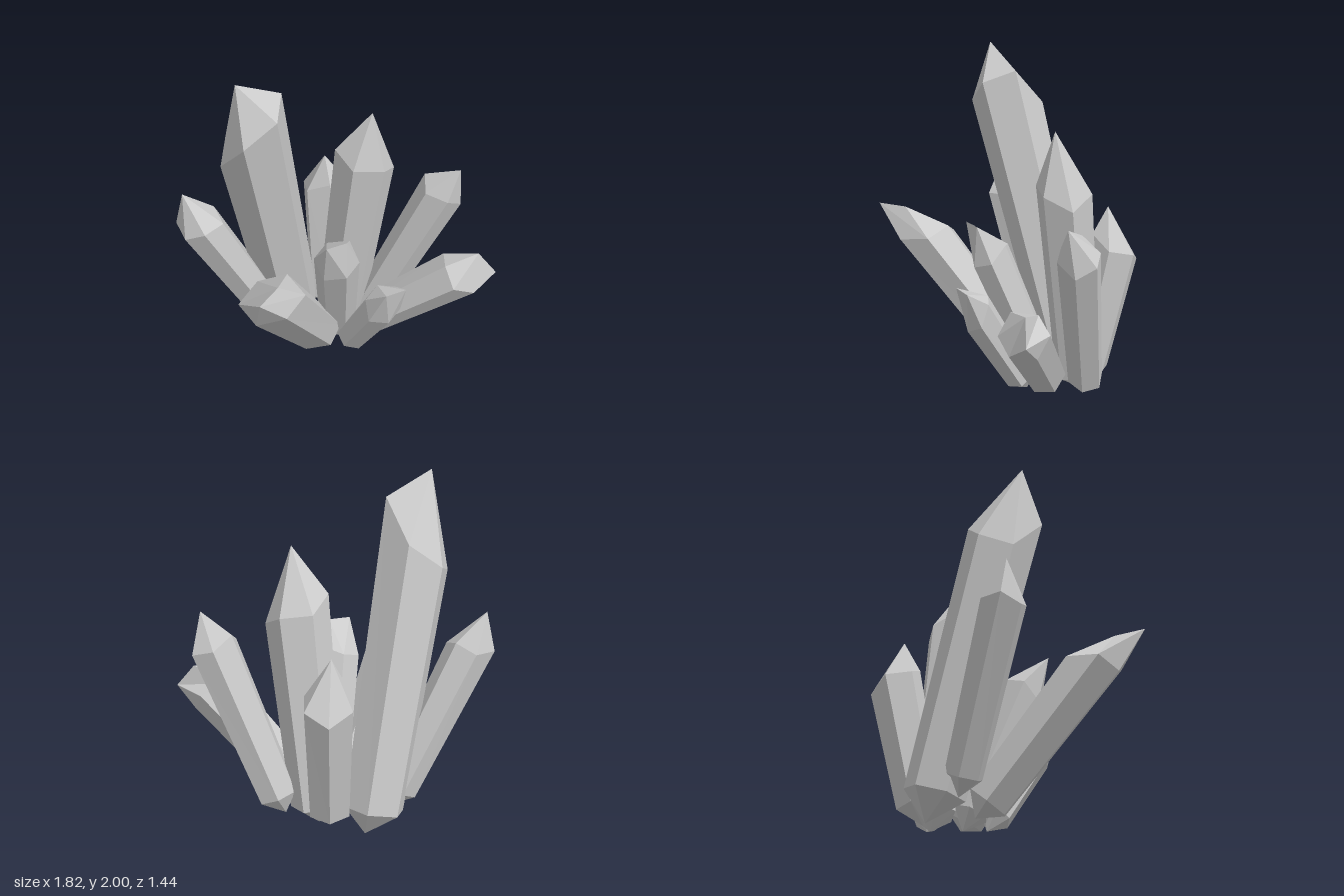
import * as THREE from 'three';

const SIDES = 6;

// Each crystal: base and shoulder ring centres, tip, radius, depth factor, start angle,
// tilt of the shoulder ring in x and z, and half length of a ridge that blunts the tip
const CRYSTALS = [
  { name: 'tallCrystal', base: [-0.25, 0.14, -0.38], shoulder: [-0.475, 1.66, -0.045], tip: [-0.55, 2, 0.04], r: 0.21, depth: 0.95, turn: 0.75, tilt: [0.85, 0.35], foot: [-0.2, 0, -0.42] },
  { name: 'rightTallCrystal', base: [0.07, 0.15, -0.35], shoulder: [0.18, 1.29, -0.23], tip: [0.21, 1.63, -0.17], r: 0.18, depth: 0.88, turn: 0, tilt: [-0.25, 0.1] },
  { name: 'frontLeaningCrystal', base: [-0.13, 0.16, -0.08], shoulder: [-0.435, 0.88, 0.45], tip: [-0.465, 1.07, 0.65], r: 0.185, depth: 0.85, turn: 0, tilt: [0, 0.4], ridge: [0.055, 0, -0.07] },
  { name: 'leftCrystal', base: [-0.39, 0.2, -0.25], shoulder: [-0.785, 1.02, -0.11], tip: [-0.87, 1.23, -0.11], r: 0.132, depth: 0.95, turn: 0.3, tilt: [-0.2, 0] },
  { name: 'rightCrystal', base: [0.29, 0.2, -0.34], shoulder: [0.64, 1.05, -0.2], tip: [0.72, 1.23, -0.12], r: 0.142, depth: 0.85, turn: 0.5, tilt: [-0.1, -0.1] },
  { name: 'rightLowCrystal', base: [0.22, 0.21, -0.12], shoulder: [0.69, 0.655, 0.105], tip: [0.85, 0.735, 0.13], r: 0.148, depth: 0.95, turn: 0, tilt: [0, 0.1], ridge: [0.053, -0.067, 0.01] },
  { name: 'middleCrystal', base: [0.01, 0.14, -0.15], shoulder: [-0.035, 0.86, 0.14], tip: [-0.05, 1.05, 0.25], r: 0.13, depth: 0.95, turn: 0.2, tilt: [0.1, -0.25], ridge: [0.06, 0, -0.02] },
  { name: 'smallFrontCrystal', base: [0.08, 0.15, 0], shoulder: [0.215, 0.61, 0.265], tip: [0.27, 0.77, 0.365], r: 0.112, depth: 0.95, turn: 0.2, tilt: [0.1, -0.6], ridge: [0.06, 0, -0.02] },
  { name: 'backCrystal', base: [0, 0.16, -0.43], shoulder: [0.005, 0.88, -0.58], tip: [-0.01, 1.12, -0.54], r: 0.15, depth: 1, turn: 0.5, tilt: [0, 0.25] },
];

const vec = (p) => new THREE.Vector3(...p);

function crystalGeometry({ base, shoulder, tip, r, depth, turn, tilt, ridge = [0, 0, 0], foot }) {
  const b = vec(base), s = vec(shoulder), t = vec(tip), half = vec(ridge);
  const axis = s.clone().sub(b).normalize();
  const u = new THREE.Vector3(1, 0, 0).addScaledVector(axis, -axis.x).normalize();
  const w = u.clone().cross(axis);
  const f = foot ? vec(foot) : b.clone().addScaledVector(axis, -0.11);

  const lower = [], upper = [], peak = [];
  for (let i = 0; i < SIDES; i++) {
    const a = turn + (i / SIDES) * Math.PI * 2;
    const c = Math.cos(a) * r, d = Math.sin(a) * r * depth;
    const out = u.clone().multiplyScalar(c).addScaledVector(w, d);
    // alternate corners sit a little higher, for uneven facets
    const lift = c * tilt[0] + d * tilt[1] + (i % 2 ? 0.12 : -0.12) * r;
    lower.push(b.clone().addScaledVector(out, 0.84));
    upper.push(s.clone().add(out).addScaledVector(axis, lift));
    peak.push(t.clone().addScaledVector(half, Math.sign(out.dot(half))));
  }

  const points = [];
  for (let i = 0; i < SIDES; i++) {
    const j = (i + 1) % SIDES;
    points.push(lower[i], upper[i], upper[j], lower[i], upper[j], lower[j]); // side
    points.push(upper[i], peak[j], upper[j]); // tip facet
    if (!peak[i].equals(peak[j])) points.push(upper[i], peak[i], peak[j]); // ridge
    points.push(lower[i], lower[j], f); // pointed foot
  }
  const geometry = new THREE.BufferGeometry().setFromPoints(points);
  geometry.computeVertexNormals();
  return geometry;
}

export function createModel() {
  const group = new THREE.Group();
  group.name = 'crystalCluster';
  const material = new THREE.MeshStandardMaterial({ color: 0xcccccc, flatShading: true });
  for (const crystal of CRYSTALS) {
    const mesh = new THREE.Mesh(crystalGeometry(crystal), material);
    mesh.name = crystal.name;
    group.add(mesh);
  }
  return group;
}
